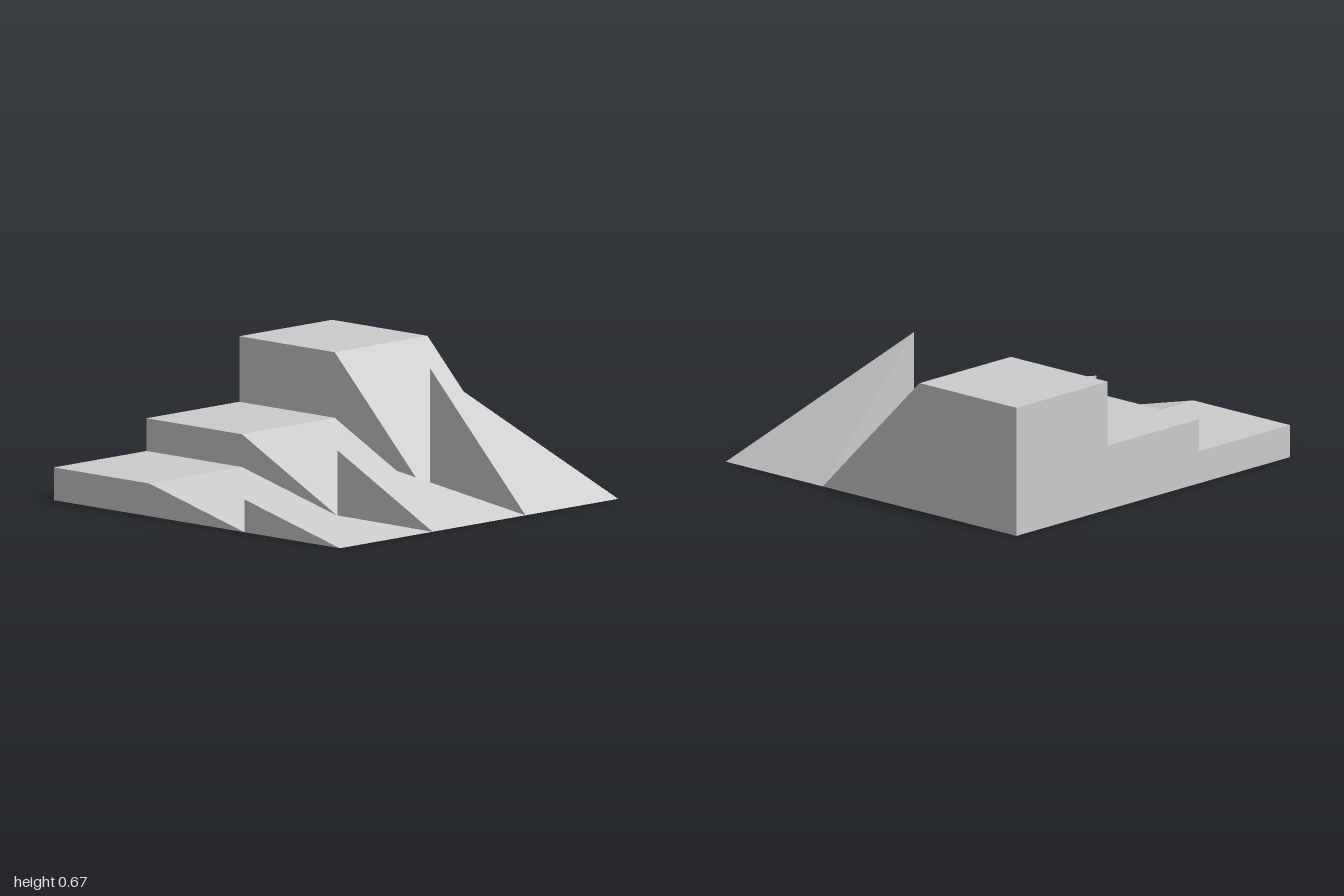
import * as THREE from 'three';

const CELL = 2 / 3;

// Ramp rising towards the back into a flat-topped block, extruded across x
function rampBlock(h) {
  const profile = new THREE.Shape([[-CELL / 2, 0], [1, 0], [1, h], [CELL / 2, h]]
    .map(([u, v]) => new THREE.Vector2(u, v)));
  return new THREE.ExtrudeGeometry(profile, { depth: CELL, bevelEnabled: false })
    .rotateY(Math.PI / 2);
}

// Square-based pyramid with its apex straight above the back corner at x = 0
function cornerPyramid(h) {
  const back = CELL / 2;
  const a = [0, 0, 1], b = [CELL, 0, 1], c = [CELL, 0, back], d = [0, 0, back];
  const apex = [0, h, back];
  const faces = [a, b, apex, b, c, apex, c, d, apex, d, a, apex, a, d, c, a, c, b];
  const geometry = new THREE.BufferGeometry();
  geometry.setAttribute('position', new THREE.Float32BufferAttribute(faces.flat(), 3));
  geometry.computeVertexNormals();
  return geometry;
}

export function createModel() {
  const group = new THREE.Group();
  group.name = 'steppedRamps';
  const material = new THREE.MeshStandardMaterial({ color: 0xcccccc, flatShading: true });

  // Three columns side by side, each twice as high as the one before
  ['low', 'middle', 'high'].forEach((label, i) => {
    const height = CELL / 2 ** (2 - i);
    const parts = { RampBlock: rampBlock(height), CornerPyramid: cornerPyramid(height) };
    for (const [part, geometry] of Object.entries(parts)) {
      const mesh = new THREE.Mesh(geometry, material);
      mesh.name = label + part;
      mesh.position.x = -1 + i * CELL;
      group.add(mesh);
    }
  });
  return group;
}
